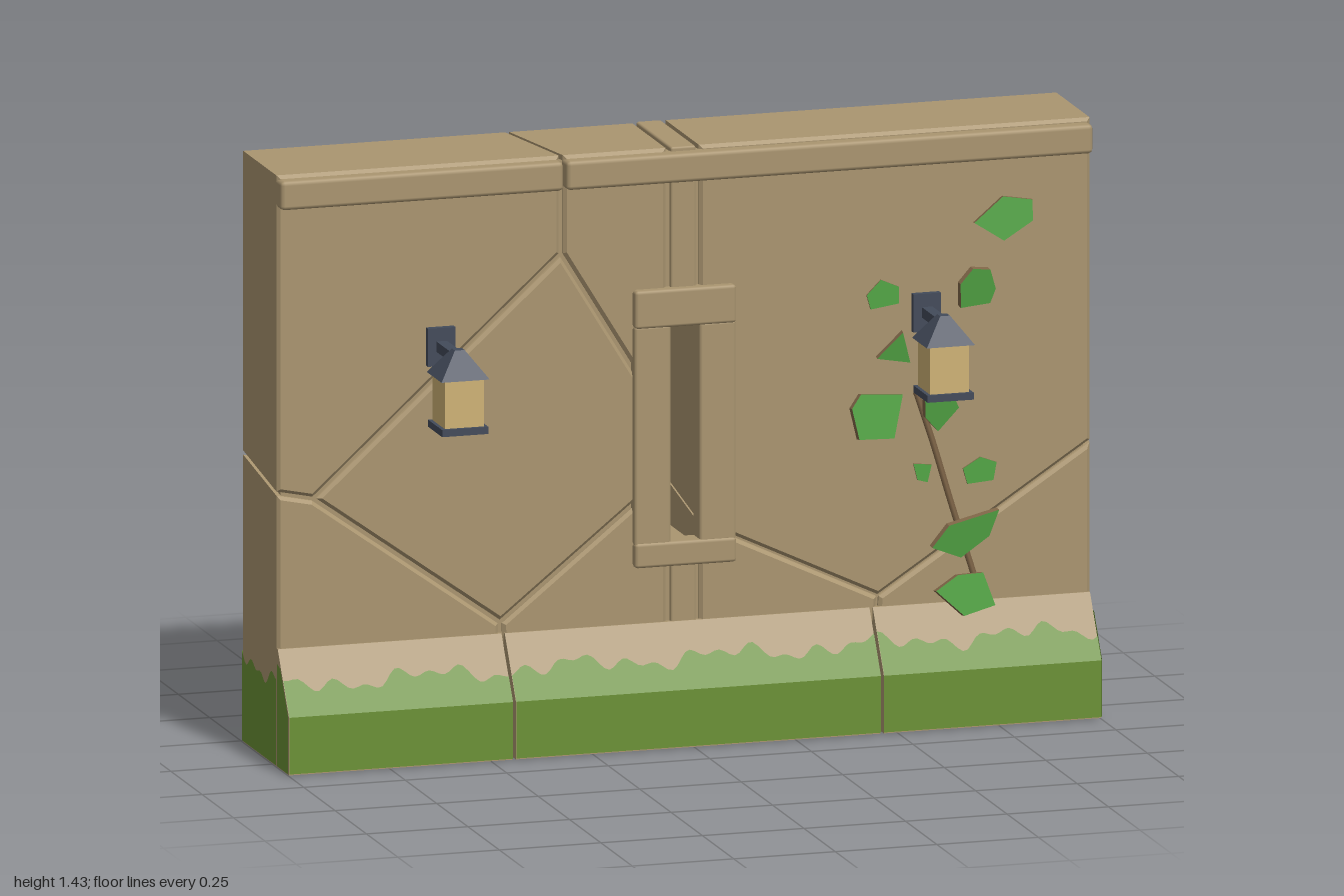
import * as THREE from 'three';
import { RoundedBoxGeometry } from 'three/addons/geometries/RoundedBoxGeometry.js';

const mat = (name, color, extra = {}) => Object.assign(new THREE.MeshStandardMaterial({ color, ...extra }), { name });

const Z_BACK = -0.24, Z_FRONT = 0.04;

// Shrinks a counter-clockwise polygon by d
function inset(pts, d) {
  const n = pts.length;
  const normal = (a, b) => {
    const l = Math.hypot(b[0] - a[0], b[1] - a[1]);
    return [-(b[1] - a[1]) / l, (b[0] - a[0]) / l];
  };
  return pts.map((p, i) => {
    const a = normal(pts[(i + n - 1) % n], p), b = normal(p, pts[(i + 1) % n]);
    const k = d / (1 + a[0] * b[0] + a[1] * b[1]);
    return [p[0] + (a[0] + b[0]) * k, p[1] + (a[1] + b[1]) * k];
  });
}

// Chamfered stone lofted from a back outline to a front outline
function stoneGeometry(front, back, gap) {
  const c = 0.008, pos = [];
  const ring = (pts, d, z) => inset(pts, d).map(([x, y]) => [x, y, z]);
  const rings = [
    ring(back, gap + c, Z_BACK), ring(back, gap, Z_BACK + c),
    ring(front, gap, Z_FRONT - c), ring(front, gap + c, Z_FRONT),
  ];
  const n = front.length;
  const tri = (...v) => v.forEach((p) => pos.push(...p));
  for (let r = 0; r < 3; r++) {
    for (let i = 0; i < n; i++) {
      const j = (i + 1) % n, [a, b, d, e] = [rings[r][i], rings[r][j], rings[r + 1][j], rings[r + 1][i]];
      tri(a, b, d);
      tri(a, d, e);
    }
  }
  for (let i = 1; i < n - 1; i++) {
    tri(rings[3][0], rings[3][i], rings[3][i + 1]);
    tri(rings[0][0], rings[0][i + 1], rings[0][i]);
  }
  const g = new THREE.BufferGeometry();
  g.setAttribute('position', new THREE.Float32BufferAttribute(pos, 3));
  g.computeVertexNormals();
  return g;
}

// Thin strip with a wavy top edge; place(u, y) puts each point on a surface
const wave = (u) => 0.208 + 0.011 * Math.sin(17 * u) + 0.009 * Math.sin(43 * u + 1) + 0.009 * Math.sin(79 * u + 2);
function mossGeometry(u0, u1, rows, place) {
  const pos = [], n = Math.max(4, Math.ceil((u1 - u0) / 0.012));
  const at = (i, r) => {
    const u = u0 + ((u1 - u0) * i) / n;
    return place(u, r < rows.length ? rows[r] : wave(u));
  };
  for (let i = 0; i < n; i++) {
    for (let r = 0; r < rows.length; r++) {
      const a = at(i, r), b = at(i + 1, r), c = at(i + 1, r + 1), d = at(i, r + 1);
      pos.push(...a, ...b, ...c, ...a, ...c, ...d);
    }
  }
  const g = new THREE.BufferGeometry();
  g.setAttribute('position', new THREE.Float32BufferAttribute(pos, 3));
  g.computeVertexNormals();
  return g;
}

const shapeOf = (pts) => new THREE.Shape(pts.map(([x, y]) => new THREE.Vector2(x, y)));

export function createModel() {
  const stone = mat('sandstone', 0xaa9570);
  const moss = mat('moss', 0x6b9136, { side: THREE.DoubleSide });
  const leafGreen = mat('leaf green', 0x52a544);
  const bark = mat('bark', 0x806648);
  const metal = mat('dark metal', 0x434b5a);
  const glass = mat('amber glass', 0xcfb376);

  const model = new THREE.Group();
  const add = (name, geometry, material, parent = model) => {
    const m = new THREE.Mesh(geometry, material);
    m.name = name;
    parent.add(m);
    return m;
  };
  // Box given by its limits; a radius gives chamfered edges
  const box = (name, x0, x1, y0, y1, z0, z1, material, r = 0, parent = model) => {
    const s = [x1 - x0, y1 - y0, z1 - z0];
    const g = r ? new RoundedBoxGeometry(...s, 1, r) : new THREE.BoxGeometry(...s);
    g.translate((x0 + x1) / 2, (y0 + y1) / 2, (z0 + z1) / 2);
    return add(name, g, material, parent);
  };

  // Wall joints, each as front x, y and back x, y
  const L = -1.005, R = 1.005, B = -0.005, T = 1.433, M = 0.037;
  const P = {
    lb: [L, B, L, B], lt: [L, T, L, T], lMid: [L, 0.66, L, 0.7],
    lKnee: [-0.91, 0.64, -0.96, 0.69], peak: [-0.3, 1.19, -0.35, 1.26], peakTop: [-0.3, T, -0.35, T],
    foot: [-0.45, 0.31, -0.42, 0.33], footBase: [-0.44, B, -0.4, B],
    mUp: [-M, 0.76, -M, 0.77], mLow: [-M, 0.64, -M, 0.6], mb: [-M, B, -M, B], mt: [-M, T, -M, T],
    nb: [M, B, M, B], nt: [M, T, M, T], nMid: [M, 0.52, M, 0.57],
    hub: [0.48, 0.31, 0.45, 0.395], hubBase: [0.455, B, 0.39, B],
    rb: [R, B, R, B], rt: [R, T, R, T], rMid: [R, 0.65, R, 0.77],
  };
  const stones = [
    ['lb', 'footBase', 'foot', 'lKnee', 'lMid'],
    ['lMid', 'lKnee', 'peak', 'peakTop', 'lt'],
    ['peak', 'mUp', 'mt', 'peakTop'],
    ['lKnee', 'foot', 'mLow', 'mUp', 'peak'],
    ['footBase', 'mb', 'mLow', 'foot'],
    ['nb', 'hubBase', 'hub', 'nMid'],
    ['hubBase', 'rb', 'rMid', 'hub'],
    ['nMid', 'hub', 'rMid', 'rt', 'nt'],
  ];
  stones.forEach((keys, i) => {
    const pts = keys.map((k) => P[k]);
    const front = pts.map((p) => [p[0], p[1]]), back = pts.map((p) => [p[2], p[3]]);
    add('wallStone', stoneGeometry(front, back, i < 5 ? 0.005 : 0.003), stone);
  });

  // Recessed core behind the joints
  for (const s of [-1, 1]) box('wallCore', Math.min(s * 0.046, s * 0.988), Math.max(s * 0.046, s * 0.988), 0.012, 1.415, -0.228, 0.028, stone);

  // Central strip, interrupted by the slit window
  for (const [y0, y1] of [[0, 0.47], [1.0, 1.43]]) {
    box('centreStrip', -0.031, 0.031, y0, y1, Z_BACK, Z_FRONT, stone, 0.005);
    box('stripCore', -0.05, 0.05, y0 + 0.012, y1 - 0.012, -0.228, 0.028, stone);
  }
  box('slitPane', -0.04, 0.04, 0.46, 1.01, -0.236, -0.21, metal);

  // Window frame
  for (const s of [-1, 1]) box('windowJamb', s * 0.08 - 0.045, s * 0.08 + 0.045, 0.475, 1.005, 0, 0.057, stone, 0.007);
  box('windowLintel', -0.125, 0.125, 1.0, 1.092, 0, 0.062, stone, 0.008);
  box('windowSill', -0.125, 0.125, 0.422, 0.482, 0, 0.062, stone, 0.008);

  // Top trim, cut where the joint runs through it
  for (const [x0, x1] of [[-1, -0.304], [-0.296, 1]]) box('topTrim', x0, x1, 1.35, 1.42, 0.02, 0.072, stone, 0.01);

  // Sloped plinth with moss over its lower part
  const plinth = [[0.03, 0], [0.132, 0], [0.132, 0.14], [0.043, 0.285], [0.03, 0.285]];
  const slopeZ = (y) => (y <= 0.14 ? 0.132 : 0.132 - ((y - 0.14) * 0.089) / 0.145);
  for (const [x0, x1] of [[-1, -0.449], [-0.441, 0.457], [0.465, 1]]) {
    const g = new THREE.ExtrudeGeometry(shapeOf(plinth), { depth: x1 - x0, bevelEnabled: false });
    g.rotateY(-Math.PI / 2).translate(x1, 0, 0);
    add('plinth', g, stone);
    add('plinthMoss', mossGeometry(x0, x1, [0.003, 0.14], (u, y) => [u, y, slopeZ(y) + 0.003]), moss);
  }
  const endMoss = [[0.045, 0.003], [0.133, 0.003], [0.133, 0.14], [0.07, 0.243], [0.045, 0.25]];
  for (const x of [-1.002, 1.002]) {
    add('plinthEndMoss', new THREE.ShapeGeometry(shapeOf(endMoss)).rotateY(-Math.PI / 2).translate(x, 0, 0), moss);
    add('wallEndMoss', mossGeometry(-0.236, 0.036, [0.003], (u, y) => [x, y, u]), moss);
  }
  for (const [x0, x1] of [[-1, -0.417], [-0.404, -0.043], [-0.03, 0.03], [0.042, 0.414], [0.422, 1]]) {
    add('backMoss', mossGeometry(x0, x1, [0.003], (u, y) => [u, y, Z_BACK - 0.002]), moss);
  }

  // Wall lanterns
  for (const x of [-0.6, 0.595]) {
    const lantern = new THREE.Group();
    lantern.name = 'lantern';
    lantern.position.x = x;
    box('mountPlate', -0.034, 0.034, 0.945, 1.037, 0.035, 0.056, metal, 0, lantern);
    box('arm', -0.013, 0.013, 0.98, 1.005, 0.05, 0.19, metal, 0, lantern);
    box('lampGlass', -0.048, 0.048, 0.83, 0.955, 0.139, 0.235, glass, 0, lantern);
    box('lampBase', -0.057, 0.057, 0.819, 0.836, 0.13, 0.244, metal, 0, lantern);
    const roof = new THREE.CylinderGeometry(0.017, 0.084, 0.064, 4).toNonIndexed();
    roof.computeVertexNormals();
    roof.rotateY(Math.PI / 4).translate(0, 0.983, 0.187);
    add('lampRoof', roof, metal, lantern);
    model.add(lantern);
  }

  // Ivy: outline points of each leaf, thick leaves stand off the wall
  const leaves = [
    [1, 0.71, 1.2, 0.78, 1.26, 0.85, 1.25, 0.85, 1.2, 0.78, 1.155],
    [1, 0.67, 1.06, 0.7, 1.096, 0.745, 1.09, 0.762, 1.04, 0.75, 1.005, 0.675, 1.0],
    [0, 0.45, 1.04, 0.485, 1.075, 0.53, 1.055, 0.53, 1.015, 0.46, 1.005],
    [1, 0.47, 0.893, 0.53, 0.957, 0.55, 0.88],
    [1, 0.4, 0.775, 0.425, 0.807, 0.532, 0.797, 0.505, 0.695, 0.415, 0.7],
    [1, 0.58, 0.8, 0.65, 0.8, 0.67, 0.76, 0.62, 0.705, 0.585, 0.743],
    [0, 0.687, 0.605, 0.73, 0.63, 0.77, 0.615, 0.762, 0.572, 0.698, 0.567],
    [1, 0.6, 0.428, 0.64, 0.48, 0.767, 0.508, 0.746, 0.444, 0.676, 0.396],
    [1, 0.607, 0.32, 0.665, 0.353, 0.73, 0.353, 0.757, 0.273, 0.676, 0.255],
    [0, 0.64, 0.885, 0.685, 0.895, 0.685, 0.865, 0.645, 0.865],
    [0, 0.565, 0.625, 0.61, 0.62, 0.6, 0.578, 0.575, 0.585],
  ];
  leaves.forEach(([thick, ...v], i) => {
    const cx = v[0] / 2 + v[4] / 2, cy = v[1] / 2 + v[5] / 2, pts = [];
    for (let k = 0; k < v.length; k += 2) pts.push([v[k] - cx, v[k + 1] - cy]);
    const g = new THREE.ExtrudeGeometry(shapeOf(pts), { depth: thick ? 0.016 : 0.006, bevelEnabled: false });
    if (thick) g.rotateX(i % 2 ? 0.15 : -0.12).rotateY(i % 3 ? 0.12 : -0.12);
    g.translate(cx, cy, thick ? 0.056 : 0.038);
    add('ivyLeaf', g, [leafGreen, bark]);
  });
  const vine = new THREE.CatmullRomCurve3([[0.57, 0.8], [0.61, 0.68], [0.655, 0.53], [0.715, 0.34]]
    .map(([x, y]) => new THREE.Vector3(x, y, 0.046)));
  add('ivyStem', new THREE.TubeGeometry(vine, 12, 0.008, 5), bark);

  return model;
}
